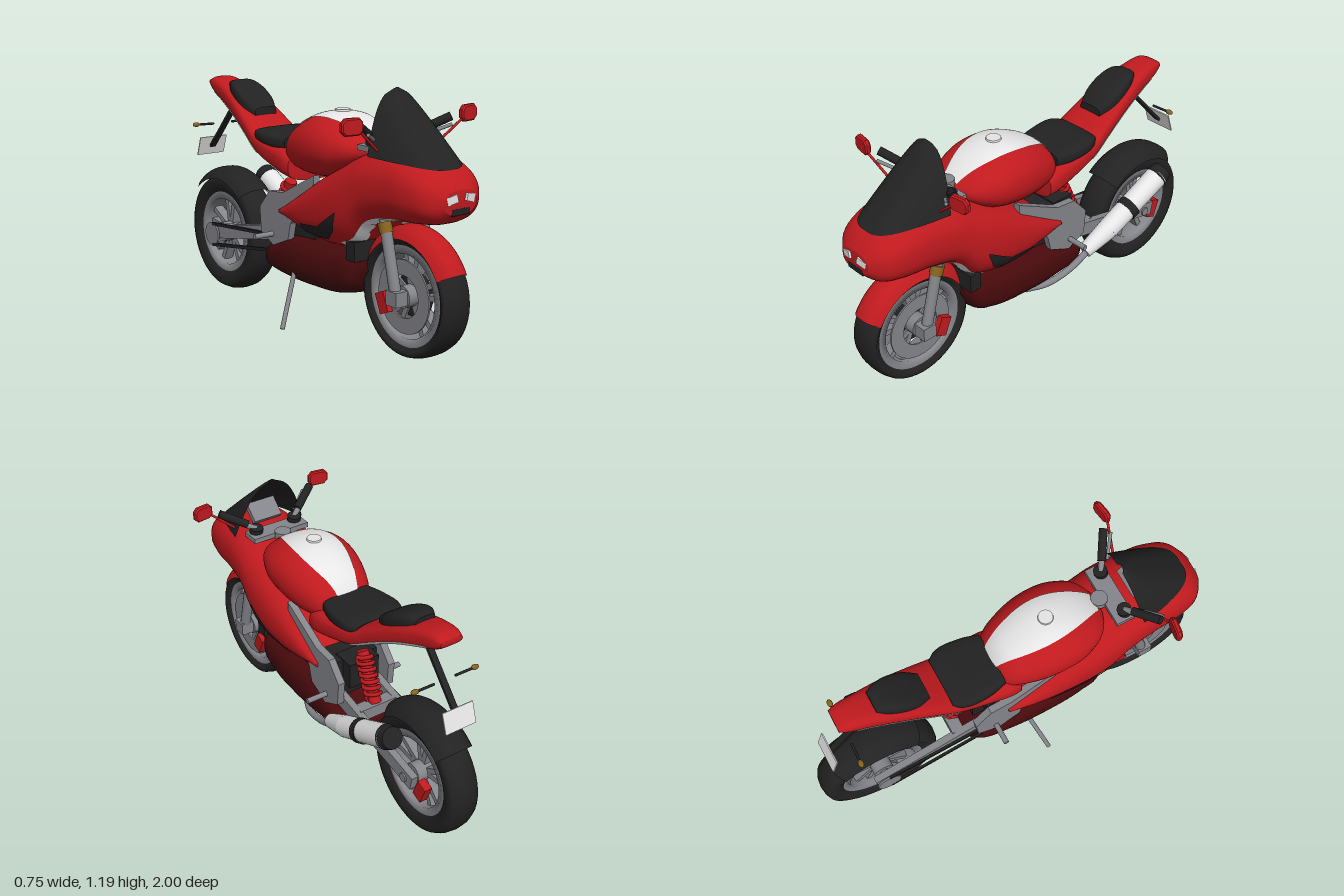
import * as THREE from 'three';
import { mergeVertices } from 'three/addons/utils/BufferGeometryUtils.js';
import { ParametricGeometry } from 'three/addons/geometries/ParametricGeometry.js';

const paint = (name, color) => new THREE.MeshStandardMaterial({ name, color, side: THREE.DoubleSide });
const red = paint('red', 0xc01a1e), darkRed = paint('dark red', 0x480a0c), black = paint('black', 0x222222);
const grey = paint('grey', 0x85868b), white = paint('white', 0xe6e6e6), gold = paint('gold', 0x8a641e);
const V = (x, y, z) => new THREE.Vector3(x, y, z);

export function createModel() {
  const model = new THREE.Group();
  model.name = 'motorcycle';
  const add = (name, geo, mat, pos = [0, 0, 0], rot = [0, 0, 0], parent = model) => {
    const m = new THREE.Mesh(geo, mat);
    m.name = name;
    m.position.set(...pos);
    m.rotation.set(...rot);
    parent.add(m);
    return m;
  };
  const box = (name, size, mat, pos, rot) => add(name, new THREE.BoxGeometry(...size), mat, pos, rot);
  // round rod between two points
  const rod = (name, a, b, r, mat, r2 = r, sides = 14) => {
    const p = V(...a), q = V(...b), d = q.clone().sub(p);
    const m = add(name, new THREE.CylinderGeometry(r2, r, d.length(), sides), mat, p.clone().add(q).multiplyScalar(0.5).toArray());
    m.quaternion.setFromUnitVectors(V(0, 1, 0), d.normalize());
    return m;
  };
  // square bar between two points
  const bar = (name, a, b, w, h, mat) => {
    const p = V(...a), q = V(...b);
    const m = box(name, [w, h, p.distanceTo(q)], mat, p.clone().add(q).multiplyScalar(0.5).toArray());
    m.lookAt(q);
    return m;
  };
  const surface = (fn, nu, nv) => {
    let g = new ParametricGeometry((u, v, t) => t.set(...fn(u, v)), nu, nv);
    g.deleteAttribute('uv');
    g.deleteAttribute('normal');
    g = mergeVertices(g, 1e-5);
    g.computeVertexNormals();
    return g;
  };
  // body shell from sections [z, top, bottom, halfWidth], listed back to front
  const body = (name, secs, n, mat) => {
    const zs = secs.map(s => s[0]);
    const curve = new THREE.CubicInterpolant(zs, secs.flatMap(s => s.slice(1)), 3);
    const at = z => {
      const [top, bot, w] = Array.from(curve.evaluate(z));
      return { c: (top + bot) / 2, h: (top - bot) / 2, w };
    };
    const z0 = zs[0], z1 = zs[zs.length - 1];
    const root = (k) => Math.pow(Math.max(0, 1 - Math.pow(Math.abs(k), n)), 1 / n);
    const pw = k => Math.sign(k) * Math.pow(Math.abs(k), 2 / n);
    add(name, surface((u, v) => {
      const z = (z0 + z1) / 2 + (z1 - z0) / 2 * Math.cos(Math.PI * u);
      const { c, h, w } = at(z);
      if (u < 0.001 || u > 0.999) return [0, c, z];
      const a = v * Math.PI * 2 - Math.PI / 2;
      return [w * pw(Math.cos(a)), c + h * pw(Math.sin(a)), z];
    }, 44, 40), mat);
    return {
      sideX: (z, y) => { const s = at(z); return s.w * root((y - s.c) / s.h); },
      topY: (z, x) => { const s = at(z); return s.c + s.h * root(x / s.w); },
      low: (z, k) => { const s = at(z); return s.c + s.h * k; },
    };
  };
  // painted patch lying on both flanks of a shell
  const patch = (name, shell, za, zb, lo, hi, mat) => [1, -1].forEach(s => add(name, surface((u, v) => {
    const z = za + (zb - za) * u, y = lo(z, u) + (hi(z, u) - lo(z, u)) * v;
    return [s * (shell.sideX(z, y) + 0.005), y, z];
  }, 24, 6), mat));

  // fairing, belly, tank and tail
  const fairing = body('fairing', [[-0.06, 0.57, 0.53, 0.17], [0.08, 0.67, 0.48, 0.195], [0.2, 0.75, 0.45, 0.208],
    [0.4, 0.86, 0.455, 0.22], [0.48, 0.9, 0.49, 0.218], [0.55, 0.925, 0.58, 0.213], [0.7, 0.945, 0.63, 0.2],
    [0.85, 0.92, 0.645, 0.185], [0.95, 0.865, 0.67, 0.145], [0.995, 0.81, 0.71, 0.085]], 2.5, red);
  patch('fairing stripe', fairing, 0.82, 0.4, z => fairing.low(z, -0.97), (z, u) => fairing.low(z, -0.87 + 0.07 * u), white);
  const mix = (a, b, t) => a + (b - a) * t;
  patch('side vent', fairing, 0.44, 0.15, (z, u) => u < 0.12 ? mix(0.63, 0.55, u / 0.12) : mix(0.55, 0.495, Math.min(1, (u - 0.12) / 0.23)),
    (z, u) => u < 0.5 ? mix(0.645, 0.552, u / 0.5) : mix(0.552, 0.538, u * 2 - 1), black);
  body('belly pan', [[-0.28, 0.29, 0.25, 0.08], [-0.2, 0.37, 0.232, 0.145], [-0.05, 0.44, 0.212, 0.172],
    [0.15, 0.46, 0.21, 0.18], [0.35, 0.47, 0.228, 0.17], [0.45, 0.47, 0.28, 0.15], [0.49, 0.46, 0.36, 0.1]], 2.6, darkRed);
  box('radiator', [0.31, 0.09, 0.06], black, [0, 0.465, 0.465]);
  const tank = body('tank', [[-0.1, 0.85, 0.78, 0.07], [-0.05, 0.93, 0.755, 0.13], [0.05, 1, 0.735, 0.178],
    [0.2, 1.04, 0.74, 0.205], [0.35, 1.01, 0.78, 0.187], [0.45, 0.95, 0.85, 0.12], [0.48, 0.92, 0.88, 0.06]], 2.2, red);
  add('tank stripe', surface((u, v) => {
    const z = mix(0.465, -0.095, u), x = (v * 2 - 1) * (0.045 + 0.07 * Math.sin(Math.PI * u));
    return [x, tank.topY(z, x) + 0.005, z];
  }, 28, 12), white);
  add('fuel cap', new THREE.CylinderGeometry(0.034, 0.036, 0.012, 24), white, [0, 1.046, 0.21]);
  const tail = body('tail', [[-0.825, 1.085, 1.055, 0.055], [-0.79, 1.1, 1.025, 0.066], [-0.7, 1.09, 0.985, 0.08],
    [-0.55, 1.035, 0.92, 0.106], [-0.4, 0.95, 0.835, 0.128], [-0.3, 0.89, 0.775, 0.142], [-0.15, 0.865, 0.725, 0.158],
    [-0.03, 0.85, 0.7, 0.168], [0.01, 0.83, 0.695, 0.16]], 3, red);
  patch('tail stripe', tail, -0.29, -0.75, z => tail.low(z, -0.85), z => tail.low(z, -0.42), white);
  body('rider seat', [[-0.32, 0.9, 0.86, 0.12], [-0.28, 0.91, 0.85, 0.147], [-0.15, 0.905, 0.83, 0.152],
    [-0.06, 0.9, 0.83, 0.13]], 4, black);
  body('passenger seat', [[-0.645, 1.095, 1.05, 0.05], [-0.6, 1.1, 1.02, 0.074], [-0.47, 1.04, 0.95, 0.087],
    [-0.4, 0.985, 0.93, 0.062]], 3.5, black);

  // curved windscreen
  add('windscreen', surface((u, v) => {
    const s = u * 2 - 1, k = s * s;
    const w = 0.19 * Math.pow(1 - v, 0.55) + 0.025 * v;
    return [s * w, mix(0.885 + 0.03 * k, 1.19 - 0.012 * k, v), mix(0.93 - 0.31 * Math.pow(Math.abs(s), 3.2), 0.585 - 0.01 * k, v)];
  }, 24, 18), black);
  box('instrument panel', [0.15, 0.1, 0.03], grey, [0, 0.985, 0.67], [0.85, 0, 0]);
  box('air intake', [0.1, 0.028, 0.04], black, [0, 0.722, 0.975]);
  box('top clamp', [0.3, 0.025, 0.09], grey, [0, 0.935, 0.545]);
  rod('steering nut', [0, 0.92, 0.49], [0, 0.955, 0.49], 0.04, grey);

  // wheels
  const ring = pts => new THREE.LatheGeometry(pts.map(p => new THREE.Vector2(p[0], p[1])), 48).rotateZ(Math.PI / 2);
  const wheel = (name, y, z, R, rim) => {
    const g = new THREE.Group();
    g.name = name;
    g.position.set(0, y, z);
    model.add(g);
    const put = (n, geo, mat, pos, rot) => add(n, geo, mat, pos, rot, g);
    const side = [[rim, 0.058], [rim + 0.02, 0.07], [mix(rim, R, 0.55), 0.08], [mix(rim, R, 0.8), 0.07], [mix(rim, R, 0.95), 0.04], [R, 0]];
    put('tyre', ring([...side.map(p => [p[0], -p[1]]), ...side.slice(0, -1).reverse()]), black);
    put('rim', ring([[rim + 0.004, -0.06], [rim - 0.034, -0.058], [rim - 0.024, 0], [rim - 0.034, 0.058], [rim + 0.004, 0.06]]), grey);
    put('hub', new THREE.CylinderGeometry(0.05, 0.05, 0.15, 20), grey, [0, 0, 0], [0, 0, Math.PI / 2]);
    for (let i = 0; i < 10; i++) {
      const a = Math.floor(i / 2) * Math.PI * 0.4 + (i % 2 ? 0.2 : -0.2), r = (rim + 0.01) / 2;
      put('spoke', new THREE.BoxGeometry(0.05, rim - 0.03, 0.026), grey, [0, Math.cos(a) * r, Math.sin(a) * r], [a, 0, 0]);
    }
    return put;
  };
  const putFront = wheel('front wheel', 0.305, 0.723, 0.278, 0.222);
  putFront('hub carrier', new THREE.CylinderGeometry(0.1, 0.1, 0.03, 28), black, [0, 0, 0], [0, 0, Math.PI / 2]);
  wheel('rear wheel', 0.306, -0.695, 0.304, 0.205);
  const disc = new THREE.Shape().absarc(0, 0, 0.165, 0, Math.PI * 2);
  disc.holes.push(new THREE.Path().absarc(0, 0, 0.095, 0, Math.PI * 2, true));
  const discGeo = new THREE.ExtrudeGeometry(disc, { depth: 0.008, bevelEnabled: false, curveSegments: 32 }).rotateY(Math.PI / 2);

  // mudguards hugging the tyres
  const guard = (name, y, z, R, a0, a1, hw, mat) => add(name, surface((u, v) => {
    const a = mix(a0, a1, u) * Math.PI / 180, s = v * 2 - 1, r = R - 0.055 * Math.pow(Math.abs(s), 3);
    return [s * hw, y + r * Math.sin(a), z + r * Math.cos(a)];
  }, 28, 14), mat);
  guard('front mudguard', 0.305, 0.723, 0.308, 28, 150, 0.084, red);
  guard('rear mudguard', 0.306, -0.695, 0.335, 48, 132, 0.1, black);

  // mirrored parts
  const outline = pts => new THREE.Shape(pts.map(p => new THREE.Vector2(...p)));
  const plate = outline([[-0.02, 0.5], [-0.2, 0.72], [-0.2, 0.76], [0.04, 0.64], [0.15, 0.63], [0.23, 0.54], [0.22, 0.42],
    [0.12, 0.37], [0, 0.42]]);
  const plateGeo = new THREE.ExtrudeGeometry(plate, { depth: 0.035, bevelEnabled: false }).rotateY(Math.PI / 2);
  const head = outline([[0.03, 0.031], [-0.03, 0.031], [-0.045, 0.016], [-0.045, -0.016], [-0.03, -0.031], [0.03, -0.031],
    [0.045, -0.016], [0.045, 0.016]]);
  const headGeo = new THREE.ExtrudeGeometry(head, { depth: 0.014, bevelSize: 0.006, bevelThickness: 0.007, bevelSegments: 1 });
  for (const s of [1, -1]) {
    const x = 0.107 * s;
    add('frame plate', plateGeo, grey, [s * 0.14 - 0.0175, 0, 0]);
    rod('fork lower', [x, 0.31, 0.72], [x, 0.59, 0.65], 0.026, grey);
    rod('fork collar', [x, 0.58, 0.652], [x, 0.625, 0.637], 0.031, gold);
    rod('fork upper', [x, 0.61, 0.642], [x, 0.96, 0.56], 0.022, grey);
    rod('fork cap', [x, 0.94, 0.562], [x, 0.975, 0.555], 0.033, black);
    box('axle clamp', [0.066, 0.065, 0.07], grey, [x, 0.308, 0.725]);
    box('front caliper', [0.03, 0.095, 0.058], red, [s * 0.08, 0.255, 0.61], [-0.4, 0, 0]);
    putFront('brake disc', discGeo, grey, [s * 0.064 - 0.004, 0, 0]);
    rod('handlebar', [x, 0.965, 0.56], [s * 0.17, 1.0, 0.597], 0.014, grey);
    rod('grip', [s * 0.14, 0.99, 0.58], [s * 0.255, 1.05, 0.65], 0.02, black);
    rod('brake lever', [s * 0.14, 0.975, 0.61], [s * 0.235, 1.02, 0.68], 0.008, grey);
    rod('mirror stalk', [s * 0.17, 0.945, 0.66], [s * 0.29, 1.045, 0.69], 0.006, red);
    add('mirror', headGeo, red, [s * 0.324, 1.063, 0.675], [0, s * 0.15, 0]);
    box('headlight', [0.052, 0.034, 0.03], white, [s * 0.048, 0.777, 0.985], [0, s * 0.2, -s * 0.25]);
    bar('swingarm', [s * 0.105, 0.42, -0.15], [s * 0.105, 0.305, -0.75], 0.035, 0.07, grey);
    rod('footpeg', [s * 0.14, 0.425, -0.125], [s * 0.262, 0.425, -0.125], 0.013, grey);
    rod('indicator stalk', [s * 0.055, 0.857, -0.792], [s * 0.15, 0.86, -0.795], 0.006, black);
    add('indicator', new THREE.SphereGeometry(0.013, 14, 10).scale(1.5, 0.9, 1), gold, [s * 0.158, 0.861, -0.795]);
  }
  rod('front axle', [-0.13, 0.305, 0.723], [0.13, 0.305, 0.723], 0.016, grey);
  rod('rear axle', [-0.13, 0.308, -0.695], [0.13, 0.308, -0.695], 0.022, grey);
  box('rear caliper', [0.04, 0.095, 0.058], red, [0.082, 0.275, -0.782], [-0.35, 0, 0]);

  // engine, shock absorber and chain
  box('engine', [0.22, 0.24, 0.3], black, [0, 0.48, 0]);
  box('battery box', [0.16, 0.13, 0.12], black, [0, 0.54, -0.15]);
  rod('shock body', [0, 0.65, -0.19], [0, 0.42, -0.3], 0.03, red);
  const coil = Array.from({ length: 97 }, (_, i) => {
    const t = i / 96, a = t * Math.PI * 14;
    return V(0.036 * Math.cos(a), mix(0.63, 0.44, t) + 0.014 * Math.sin(a), mix(-0.2, -0.29, t) - 0.033 * Math.sin(a));
  });
  add('shock spring', new THREE.TubeGeometry(new THREE.CatmullRomCurve3(coil), 150, 0.01, 6), red);
  box('swingarm bridge', [0.2, 0.06, 0.06], grey, [0, 0.395, -0.3]);
  bar('chain top', [-0.135, 0.41, -0.15], [-0.135, 0.36, -0.69], 0.012, 0.016, black);
  bar('chain bottom', [-0.135, 0.335, -0.15], [-0.135, 0.25, -0.69], 0.012, 0.016, black);
  rod('sprocket', [-0.13, 0.305, -0.695], [-0.14, 0.305, -0.695], 0.06, grey, 0.06, 28);

  // exhaust on the left side
  const pipe = new THREE.CatmullRomCurve3([V(0.11, 0.225, 0.12), V(0.155, 0.232, 0.02), V(0.172, 0.26, -0.11), V(0.185, 0.33, -0.24)]);
  add('exhaust pipe', new THREE.TubeGeometry(pipe, 24, 0.017, 12), grey);
  rod('muffler cone', [0.18, 0.325, -0.205], [0.195, 0.398, -0.35], 0.036, white, 0.052, 24);
  rod('muffler', [0.195, 0.395, -0.345], [0.204, 0.565, -0.68], 0.052, white, 0.056, 24);
  rod('muffler band', [0.198, 0.453, -0.465], [0.2, 0.471, -0.5], 0.058, black, 0.058, 24);
  rod('muffler tip', [0.203, 0.56, -0.67], [0.205, 0.583, -0.715], 0.058, black, 0.05, 24);

  // side stand and number plate
  rod('side stand', [-0.16, 0.28, 0.055], [-0.272, 0.035, 0.112], 0.011, grey);
  bar('plate bracket', [0, 0.99, -0.65], [0, 0.72, -0.895], 0.03, 0.014, black);
  box('number plate', [0.16, 0.1, 0.006], white, [0, 0.725, -0.9], [0.32, 0, 0]);
  return model;
}
